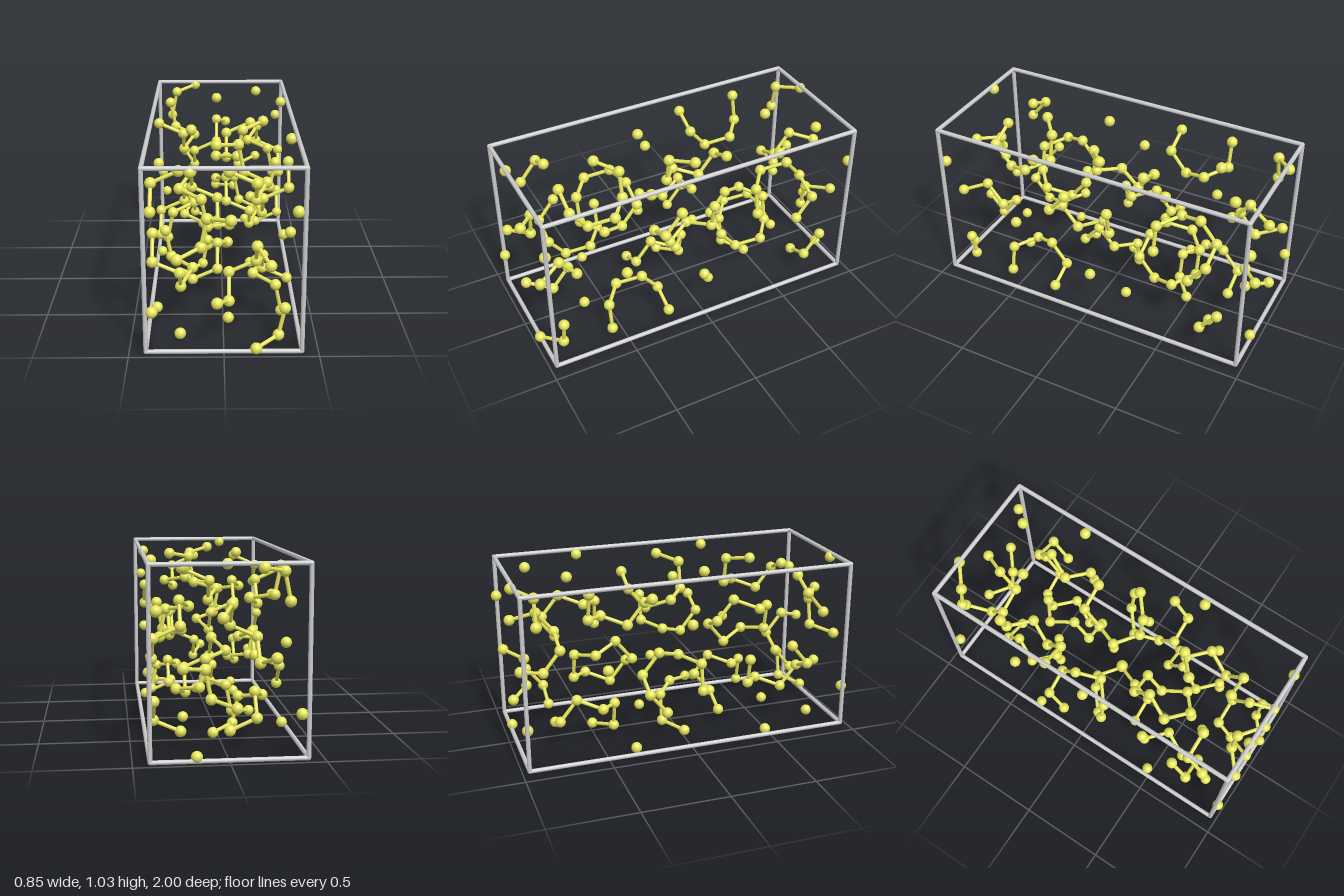
import * as THREE from 'three';

// Cell edges, radii and the height of the cell floor
const CELL = new THREE.Vector3(0.8213, 1.0097, 1.9216);
const BALL = 0.0315, BOND = 0.011, BAR = 0.0125;
const BOND_MAX = 0.175;

const yellow = new THREE.MeshStandardMaterial({ color: 0xe6e65c });
const grey = new THREE.MeshStandardMaterial({ color: 0xcccccc });

// The four independent atoms of a puckered eight-atom ring (fractions of the cell)
const SITES = [
  [0.8554, 0.9526, 0.9516],
  [0.7844, 0.0301, 0.0763],
  [0.7069, 0.9795, 0.0040],
  [0.7862, 0.9073, 0.1290],
];
const AXES = [[1, 1, 1], [-1, -1, 1], [-1, 1, -1], [1, -1, -1]]; // twofold axes
const CENTRES = [[0, 0, 0], [0, 0.5, 0.5], [0.5, 0, 0.5], [0.5, 0.5, 0]]; // face centring

const toModel = ([a, b, c]) => new THREE.Vector3(
  (a - 0.5) * CELL.x, (1 - b) * CELL.y + BAR, (c - 0.5) * CELL.z);

// Repeat the sites by symmetry, wrap them into the cell, and keep copies just past an end face
function atomPositions() {
  const out = [];
  for (const site of SITES) for (const axis of AXES) for (const inv of [1, -1]) for (const t of CENTRES) {
    const f = site.map((v, i) => {
      const w = inv * (axis[i] * v + (axis[i] < 0 ? 0.75 : 0)) + t[i];
      return w - Math.floor(w);
    });
    out.push(toModel(f));
    if (f[2] < 0.01) out.push(toModel([f[0], f[1], f[2] + 1]));
    if (f[2] > 0.99) out.push(toModel([f[0], f[1], f[2] - 1]));
  }
  return out;
}

const UP = new THREE.Vector3(0, 1, 0);

// Stretch a unit-height cylinder between two points
function rod(geometry, material, p, q, name) {
  const mesh = new THREE.Mesh(geometry, material);
  const dir = q.clone().sub(p);
  mesh.scale.y = dir.length();
  mesh.position.addVectors(p, q).multiplyScalar(0.5);
  mesh.quaternion.setFromUnitVectors(UP, dir.normalize());
  mesh.name = name;
  return mesh;
}

function ball(geometry, material, p, name) {
  const mesh = new THREE.Mesh(geometry, material);
  mesh.position.copy(p);
  mesh.name = name;
  return mesh;
}

function namedGroup(name) {
  const g = new THREE.Group();
  g.name = name;
  return g;
}

export function createModel() {
  const model = namedGroup('crystalCell');

  // Atoms
  const atoms = namedGroup('atoms');
  const points = atomPositions();
  const atomGeo = new THREE.SphereGeometry(BALL, 22, 16);
  points.forEach((p) => atoms.add(ball(atomGeo, yellow, p, 'atom')));

  // Bonds join every close pair
  const bonds = namedGroup('bonds');
  const bondGeo = new THREE.CylinderGeometry(BOND, BOND, 1, 14, 1, true);
  points.forEach((p, i) => points.slice(i + 1).forEach((q) => {
    if (p.distanceTo(q) < BOND_MAX) bonds.add(rod(bondGeo, yellow, p, q, 'bond'));
  }));

  // Cell frame: twelve bars with rounded corners
  const frame = namedGroup('cellFrame');
  const barGeo = new THREE.CylinderGeometry(BAR, BAR, 1, 16);
  const cornerGeo = new THREE.SphereGeometry(BAR, 16, 12);
  for (let n = 0; n < 8; n++) {
    const f = [n & 1, (n >> 1) & 1, (n >> 2) & 1];
    const p = toModel(f);
    frame.add(ball(cornerGeo, grey, p, 'frameCorner'));
    f.forEach((v, i) => {
      if (v) return;
      const g = f.slice();
      g[i] = 1;
      frame.add(rod(barGeo, grey, p, toModel(g), 'frameBar'));
    });
  }

  model.add(atoms, bonds, frame);
  return model;
}
